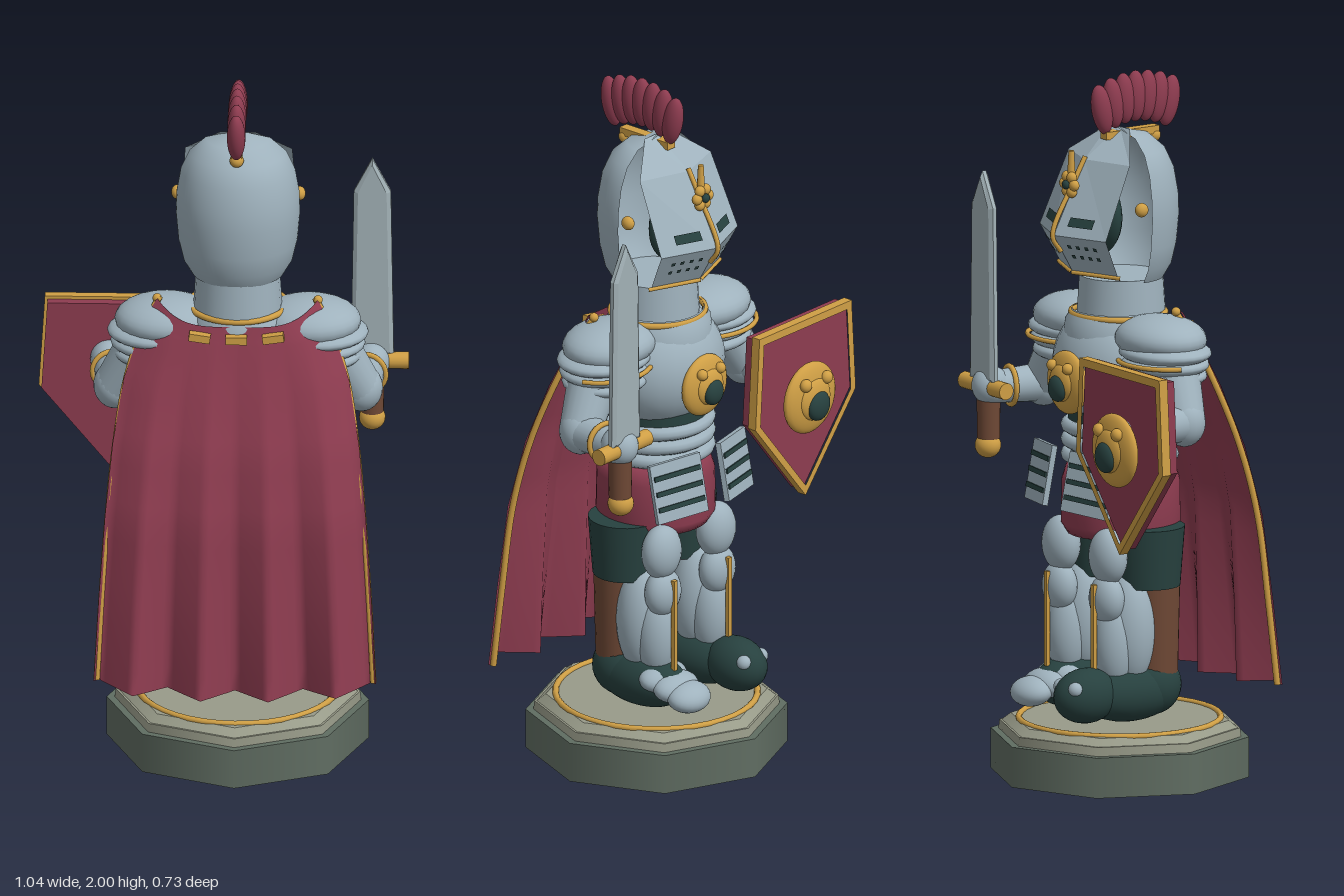
import * as THREE from 'three';

const mat = (name, color, double) => {
  const m = new THREE.MeshStandardMaterial({ color });
  m.name = name;
  if (double) m.side = THREE.DoubleSide;
  return m;
};
const V = (x, y, z) => new THREE.Vector3(x, y, z);

export function createModel() {
  const silver = mat('silver armour', 0x9fb2bd, true);
  const steel = mat('blade steel', 0xa2b1b6);
  const red = mat('crimson cloth', 0x8e3c50, true);
  const gold = mat('gold trim', 0xcf9f45);
  const dark = mat('dark green', 0x27413f, true);
  const brown = mat('brown leather', 0x6e4835);
  const stone = mat('dark stone', 0x606d62);
  const paleStone = mat('pale stone', 0x989b89);

  const model = new THREE.Group();
  const body = new THREE.Group();
  body.name = 'knight';
  body.position.x = 0.045;
  model.add(body);

  const add = (name, geo, m, p = [0, 0, 0], r = [0, 0, 0]) => {
    const mesh = new THREE.Mesh(geo, m);
    mesh.name = name;
    mesh.position.set(...p);
    mesh.rotation.set(...r);
    body.add(mesh);
    return mesh;
  };
  const ball = (name, m, p, s, r) => {
    const mesh = add(name, new THREE.SphereGeometry(1, 24, 16), m, p, r);
    mesh.scale.set(...s);
    return mesh;
  };
  const box = (name, m, p, s, r) => add(name, new THREE.BoxGeometry(...s), m, p, r);
  const cyl = (name, m, p, rt, rb, h, n = 24, r) =>
    add(name, new THREE.CylinderGeometry(rt, rb, h, n), m, p, r);
  const tube = (name, m, pts, rad) =>
    add(name, new THREE.TubeGeometry(new THREE.CatmullRomCurve3(pts), 28, rad, 8), m);
  const ring = (name, m, y, rx, rz, t, z = 0) => {
    const mesh = add(name, new THREE.TorusGeometry(1, t / rx, 10, 40), m, [0, y, z], [Math.PI / 2, 0, 0]);
    mesh.scale.set(rx, rz, rx);
    return mesh;
  };
  const limb = (name, m, a, b, ra, rb) => {
    const d = b.clone().sub(a);
    const mesh = cyl(name, m, a.clone().add(b).multiplyScalar(0.5).toArray(), rb, ra, d.length(), 20);
    mesh.quaternion.setFromUnitVectors(V(0, 1, 0), d.normalize());
    return mesh;
  };
  const lathe = (name, m, pts, p, start = 0, len = Math.PI * 2) =>
    add(name, new THREE.LatheGeometry(pts.map(q => new THREE.Vector2(...q)), 36, start, len), m, p);

  // Octagonal plinth
  cyl('plinthBase', stone, [0, 0.0575, 0], 0.367, 0.367, 0.115, 8);
  cyl('plinthStep', paleStone, [0, 0.127, 0], 0.342, 0.345, 0.026, 8);
  cyl('plinthTop', paleStone, [0, 0.149, 0], 0.31, 0.338, 0.022, 8);
  ring('plinthRing', gold, 0.16, 0.283, 0.283, 0.009);

  // Legs, boots and greaves
  for (const s of [-1, 1]) {
    const x = s * 0.115;
    ball('boot', dark, [x, 0.255, -0.045], [0.083, 0.082, 0.16]);
    ball('heel', dark, [x, 0.268, 0.025], [0.08, 0.085, 0.09]);
    if (s < 0) {
      ball('toeCap', dark, [x, 0.262, -0.195], [0.072, 0.078, 0.1]);
      for (const k of [-1, 1]) ball('toeStud', silver, [x + k * 0.035, 0.29, -0.255], [0.022, 0.022, 0.022]);
    } else {
      for (let i = 0; i < 3; i++)
        ball('toePlate', silver, [x, 0.275 - i * 0.018, -0.125 - i * 0.048], [0.083 - i * 0.006, 0.04, 0.055], [-0.3, 0, 0]);
    }
    cyl('bootShaft', brown, [x, 0.43, 0.035], 0.075, 0.068, 0.3);
    cyl('trouser', dark, [x, 0.64, 0.015], 0.105, 0.092, 0.17);
    ball('calfGuard', silver, [x, 0.435, -0.05], [0.078, 0.165, 0.075]);
    ball('shinGuard', silver, [x, 0.4, -0.1], [0.06, 0.13, 0.06]);
    ball('lowerKnee', silver, [x, 0.53, -0.125], [0.06, 0.07, 0.045]);
    ball('kneeGuard', silver, [x, 0.65, -0.12], [0.065, 0.08, 0.05]);
    box('shinTrim', gold, [x, 0.44, -0.168], [0.014, 0.27, 0.012]);
  }

  // Skirt, waist bands and sash
  lathe('skirt', red, [[0, 0.69], [0.15, 0.69], [0.168, 0.72], [0.166, 0.84], [0.15, 0.89], [0, 0.89]], [0, 0, 0.003]);
  cyl('waistCore', dark, [0, 0.96, 0], 0.145, 0.145, 0.18);
  for (let i = 0; i < 3; i++) ring('waistBand', silver, 0.912 + i * 0.042, 0.148, 0.145, 0.02);
  cyl('sash', red, [0, 1.055, 0.012], 0.148, 0.148, 0.05);

  // Slatted hip plates
  for (const s of [-1, 1]) {
    const plate = new THREE.Group();
    plate.name = 'hipPlate';
    plate.position.set(s * 0.12, 0.86, -0.185);
    plate.rotation.set(0.2, -s * 0.3, 0);
    body.add(plate);
    plate.add(box('plateBack', silver, [0, 0, 0], [0.165, 0.17, 0.016]));
    for (let i = 0; i < 3; i++)
      plate.add(box('plateGap', dark, [0, 0.045 - i * 0.045, -0.01], [0.15, 0.014, 0.006]));
  }

  // Breastplate, gorget and neck
  ball('breastplate', silver, [0, 1.165, -0.015], [0.195, 0.185, 0.17]);
  cyl('neck', silver, [0, 1.37, 0.005], 0.118, 0.125, 0.11);
  lathe('gorget', silver, [[0.15, 1.26], [0.145, 1.3], [0.125, 1.33]], [0, 0, -0.01]);
  ring('collarRing', gold, 1.318, 0.136, 0.13, 0.009, -0.005);

  // Round boss with a dark gem and two studs, facing -z
  const emblem = (x, y, z, r) => {
    ball('emblemDisc', gold, [x, y, z], [r, r, 0.03]);
    ball('emblemBoss', gold, [x, y, z - 0.018], [r * 0.6, r * 0.6, 0.024]);
    ball('emblemGem', dark, [x, y - r * 0.15, z - 0.034], [r * 0.4, r * 0.42, 0.022]);
    for (const s of [-1, 1]) ball('emblemStud', gold, [x + s * r * 0.42, y + r * 0.52, z - 0.026], [r * 0.18, r * 0.18, 0.016]);
  };
  emblem(0, 1.135, -0.178, 0.09);

  // Layered shoulders and arms
  for (const s of [-1, 1]) {
    ball('shoulderCap', silver, [s * 0.2, 1.275, 0], [0.145, 0.066, 0.122]);
    for (let i = 0; i < 3; i++)
      ball('shoulderPlate', silver, [s * (0.222 - i * 0.003), 1.24 - i * 0.033, 0], [0.144 - i * 0.006, 0.036, 0.124 - i * 0.004]);
    const arc = [];
    for (let i = 0; i <= 8; i++) {
      const a = Math.PI * (0.1 + 0.8 * i / 8);
      arc.push(V(s * 0.222 + Math.cos(a) * 0.143, 1.215, -Math.sin(a) * 0.126));
    }
    tube('shoulderTrim', gold, arc, 0.007);
    const sh = V(s * 0.26, 1.2, 0), el = V(s * 0.345, 1.06, -0.02), ha = V(s * 0.365, 1.06, -0.19);
    limb('upperArm', silver, sh, el, 0.075, 0.06);
    ball('elbow', silver, el.toArray(), [0.06, 0.068, 0.06]);
    limb('forearm', silver, el, ha, 0.055, 0.045);
    ball('gauntlet', silver, [s * 0.367, 1.065, -0.185], [0.052, 0.055, 0.055]);
    add('wristRing', new THREE.TorusGeometry(0.054, 0.008, 8, 28), gold, [s * 0.358, 1.06, -0.125], [0, s * -0.25, 0]);
  }

  // Sword
  const blade = new THREE.Shape([[-0.06, 1.08], [0.06, 1.08], [0.052, 1.58], [0, 1.68], [-0.052, 1.58]].map(p => new THREE.Vector2(...p)));
  add('blade', new THREE.ExtrudeGeometry(blade, { depth: 0.012, bevelEnabled: true, bevelThickness: 0.008, bevelSize: 0.012, bevelOffset: -0.012, bevelSegments: 1 }), steel, [0.37, 0, -0.211]);
  cyl('guard', gold, [0.37, 1.065, -0.2], 0.024, 0.024, 0.205, 16, [0, 0, Math.PI / 2]);
  cyl('grip', brown, [0.37, 0.99, -0.19], 0.034, 0.032, 0.15);
  ball('pommel', gold, [0.37, 0.895, -0.192], [0.037, 0.036, 0.037]);

  // Shield
  const outline = k => [[-0.195, 0.23], [0.195, 0.23], [0.212, -0.04], [0, -0.3], [-0.212, -0.04]].map(p => new THREE.Vector2(p[0] * k, p[1] * k));
  add('shieldBoard', new THREE.ExtrudeGeometry(new THREE.Shape(outline(0.96)), { depth: 0.042, bevelEnabled: false }), red, [-0.352, 1.01, -0.232]);
  const rim = new THREE.Shape(outline(1));
  rim.holes.push(new THREE.Path(outline(0.9)));
  add('shieldRim', new THREE.ExtrudeGeometry(rim, { depth: 0.028, bevelEnabled: false }), gold, [-0.352, 1.01, -0.246]);
  emblem(-0.352, 1.01, -0.26, 0.105);

  // Helmet shell with an open front, dark face inside
  lathe('helmetShell', silver, [[0.13, 1.42], [0.153, 1.46], [0.167, 1.52], [0.174, 1.6], [0.172, 1.66], [0.16, 1.73], [0.135, 1.785], [0.09, 1.825], [0, 1.845]],
    [0, 0, -0.01], -Math.PI / 2, Math.PI);
  ball('face', dark, [0, 1.61, -0.09], [0.125, 0.12, 0.048]);
  for (const s of [-1, 1]) ball('visorRivet', gold, [s * 0.172, 1.64, -0.045], [0.016, 0.02, 0.02]);

  // Faceted visor: rows of y, half width, centre z, side z
  const rows = [[1.845, 0.05, 0, 0], [1.765, 0.15, -0.12, -0.07], [1.56, 0.162, -0.225, -0.16], [1.44, 0.14, -0.155, -0.1]];
  const onVisor = (u, v, off = 0) => {
    const i = Math.min(2, Math.floor(v)), f = v - i;
    const [y, w, zc, zs] = rows[i].map((a, k) => a + (rows[i + 1][k] - a) * f);
    return V(u * w, y, zc + (zs - zc) * Math.abs(u) - off);
  };
  const patch = (name, m, cells, off) => {
    const pos = [];
    for (const [u0, u1, v0, v1] of cells) {
      const [a, b, c, d] = [[u0, v0], [u1, v0], [u1, v1], [u0, v1]].map(q => onVisor(...q, off));
      for (const p of [a, b, c, a, c, d]) pos.push(...p.toArray());
    }
    const g = new THREE.BufferGeometry();
    g.setAttribute('position', new THREE.Float32BufferAttribute(pos, 3));
    g.computeVertexNormals();
    add(name, g, m);
  };
  const panels = [], slits = [];
  for (let v = 0; v < 3; v++) panels.push([0, -1, v, v + 1], [1, 0, v, v + 1]);
  for (const s of [-1, 1]) {
    slits.push(s > 0 ? [0.7, 0.22, 1.74, 1.86] : [-0.22, -0.7, 1.74, 1.86]);
    for (let i = 0; i < 4; i++)
      for (const v of [2.2, 2.45]) {
        const u = s * (0.25 + i * 0.17);
        slits.push([u + 0.035, u - 0.035, v, v + 0.09]);
      }
  }
  patch('visor', silver, panels, 0);
  patch('visorSlits', dark, slits, 0.007);
  tube('visorRidge', gold, [onVisor(0, 0.9, 0.01), onVisor(0, 1.3, 0.006), onVisor(0, 2, 0.004), onVisor(0, 2.4, 0.004)], 0.007);
  for (const s of [-1, 1]) tube('jawTrim', gold, [onVisor(0, 2.94, 0.003), onVisor(s * 0.5, 2.94, 0.003), onVisor(s * 1.08, 2.94, 0.003)], 0.006);
  for (let i = 0; i < 6; i++) {
    const a = i * Math.PI / 3;
    ball('rosettePetal', gold, [Math.cos(a) * 0.024, 1.7 + Math.sin(a) * 0.024, -0.172], [0.016, 0.016, 0.014]);
  }
  ball('rosetteCentre', dark, [0, 1.7, -0.184], [0.013, 0.013, 0.01]);
  cyl('rosetteSpike', gold, [0, 1.755, -0.165], 0.008, 0.012, 0.08, 10);

  // Plume of overlapping beads
  for (let i = 0; i < 7; i++) {
    const t = (i - 3) / 3;
    ball('plumeBead', red, [0, 1.926 - 0.026 * t * t, 0.053 - t * 0.114], [0.026, 0.073, 0.031], [-t * 0.2, 0, 0]);
  }
  box('plumeSocket', gold, [0, 1.825, 0.035], [0.03, 0.022, 0.18]);
  ball('plumeStud', gold, [0, 1.808, 0.115], [0.02, 0.02, 0.02]);

  // Cape: folds deepen toward the zigzag hem
  const prof = [[1.305, 0.225, 0.13], [1.25, 0.265, 0.145], [1.12, 0.315, 0.18], [0.95, 0.345, 0.225], [0.75, 0.365, 0.255], [0.5, 0.382, 0.262], [0.255, 0.395, 0.265]];
  const capePoint = (u, t) => {
    const f = t * (prof.length - 1), i = Math.min(prof.length - 2, Math.floor(f));
    const [y, w, z] = prof[i].map((a, k) => a + (prof[i + 1][k] - a) * (f - i));
    const p = u / 0.48, fold = 2 * Math.abs(p - Math.round(p));
    const e = u ** 4 * (1 - t);
    return V(u * w, y + 0.05 * e * (1 - t) + t * t * 0.03 * u * u, z - 0.085 * e + 0.085 * fold * t * t);
  };
  const cape = new THREE.PlaneGeometry(1, 1, 50, 24);
  const cp = cape.attributes.position, uv = cape.attributes.uv;
  for (let i = 0; i < cp.count; i++) cp.setXYZ(i, ...capePoint(uv.getX(i) * 2 - 1, 1 - uv.getY(i)).toArray());
  cape.computeVertexNormals();
  add('cape', cape, red);
  for (const s of [-1, 1]) {
    tube('capeEdge', gold, prof.map((_, i) => capePoint(s, i / (prof.length - 1)).add(V(s * -0.008, 0, -0.012))), 0.009);
    ball('capeClasp', gold, [s * 0.225, 1.35, 0.035], [0.013, 0.013, 0.013]);
  }
  for (const k of [-1, 0, 1]) box('capeChain', gold, [k * 0.103, 1.274 + Math.abs(k) * 0.006, 0.146], [0.06, 0.022, 0.026], [0, 0, k * 0.15]);

  return model;
}
